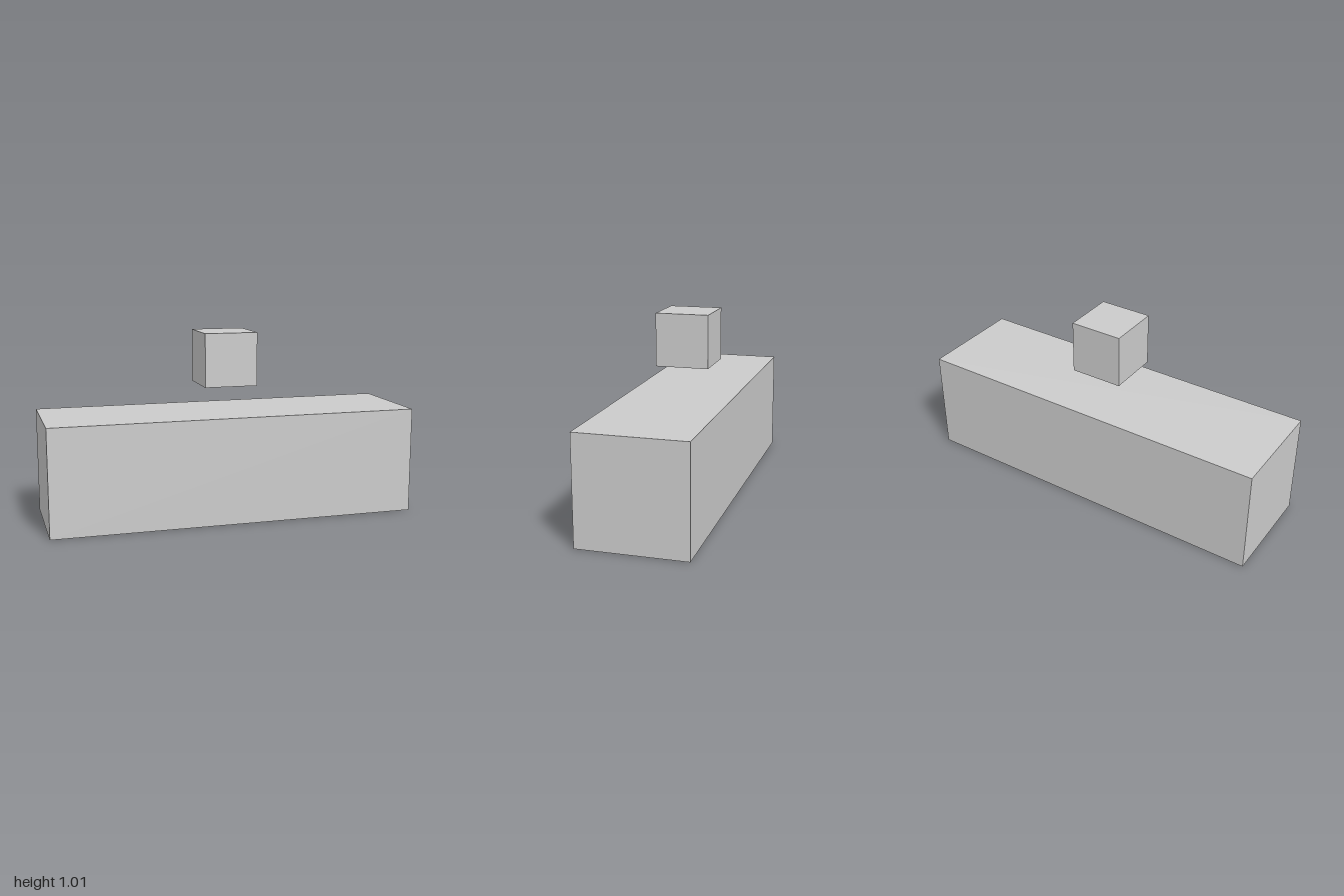
import * as THREE from 'three';

const material = new THREE.MeshStandardMaterial({ color: 0xcccccc, flatShading: true });

// Box standing with its underside at height y
function block(name, width, height, depth, y) {
  const mesh = new THREE.Mesh(new THREE.BoxGeometry(width, height, depth), material);
  mesh.name = name;
  mesh.position.y = y + height / 2;
  return mesh;
}

export function createModel() {
  const model = new THREE.Group();
  model.name = 'model';

  // Long square beam on the ground, with a small cube floating above its middle
  model.add(block('beam', 2, 0.577, 0.577, 0));
  model.add(block('floatingCube', 0.288, 0.288, 0.288, 0.722));

  return model;
}
